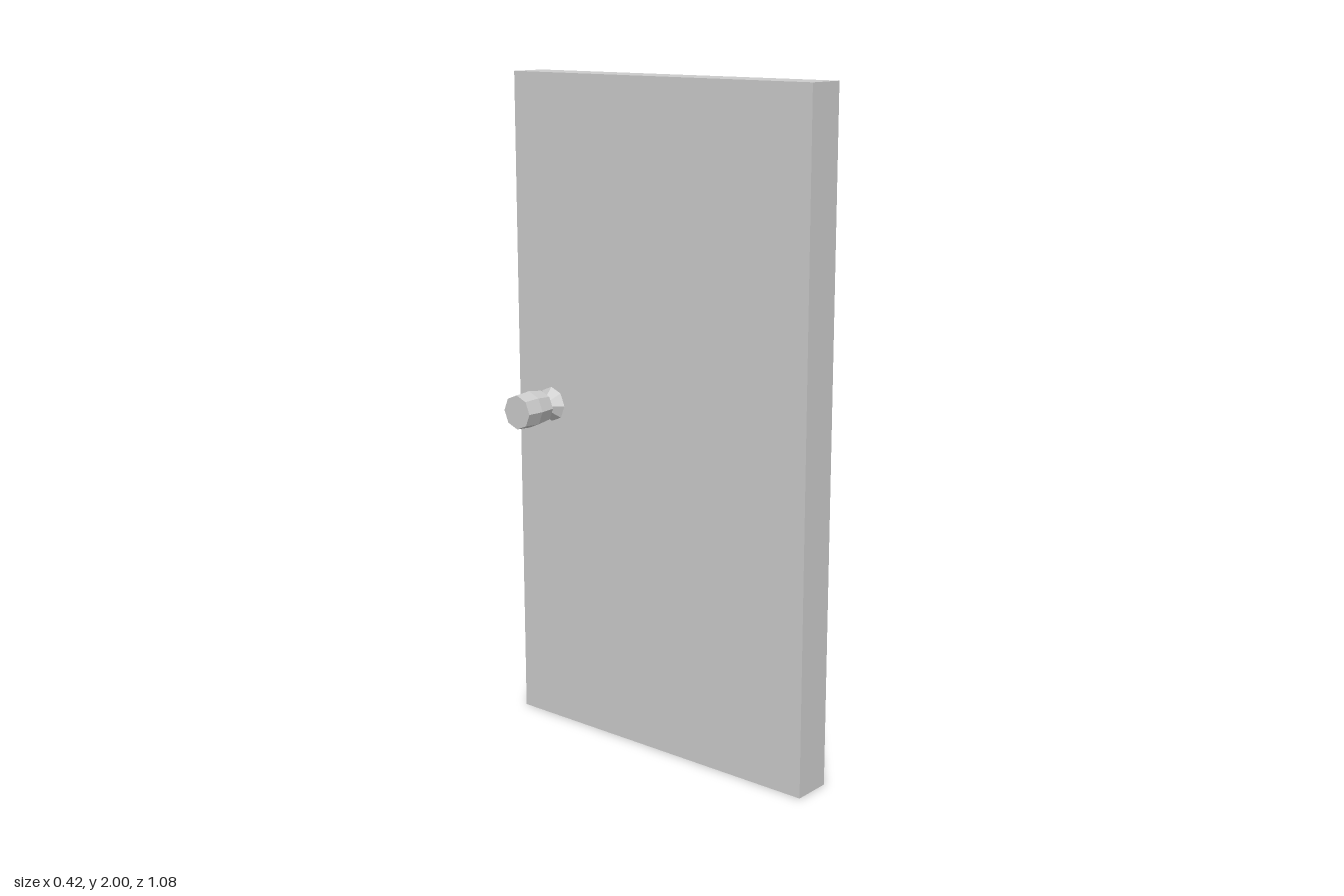
import * as THREE from 'three';

export function createModel() {
  const model = new THREE.Group();
  model.name = 'door';
  const material = new THREE.MeshStandardMaterial({ color: 0xcccccc, flatShading: true });

  // Plain door slab, edge-on to the front
  const panel = new THREE.Mesh(new THREE.BoxGeometry(0.12, 2, 1.08), material);
  panel.name = 'doorPanel';
  panel.position.y = 1;
  model.add(panel);

  // Eight-sided knob: flared base, pinched neck, barrel grip (radius, distance along axis)
  const profile = [
    [0.053, 0.06], [0.016, 0.093], [0.049, 0.106],
    [0.056, 0.158], [0.052, 0.21], [0, 0.21],
  ].map(([r, h]) => new THREE.Vector2(r, h));
  const knobGeometry = new THREE.LatheGeometry(profile, 8);

  // One knob on each face of the door
  for (const side of [1, -1]) {
    const knob = new THREE.Mesh(knobGeometry, material);
    knob.name = side > 0 ? 'leftKnob' : 'rightKnob';
    knob.rotation.z = -side * Math.PI / 2;
    knob.position.set(0, 1.01, -0.408);
    model.add(knob);
  }
  return model;
}
